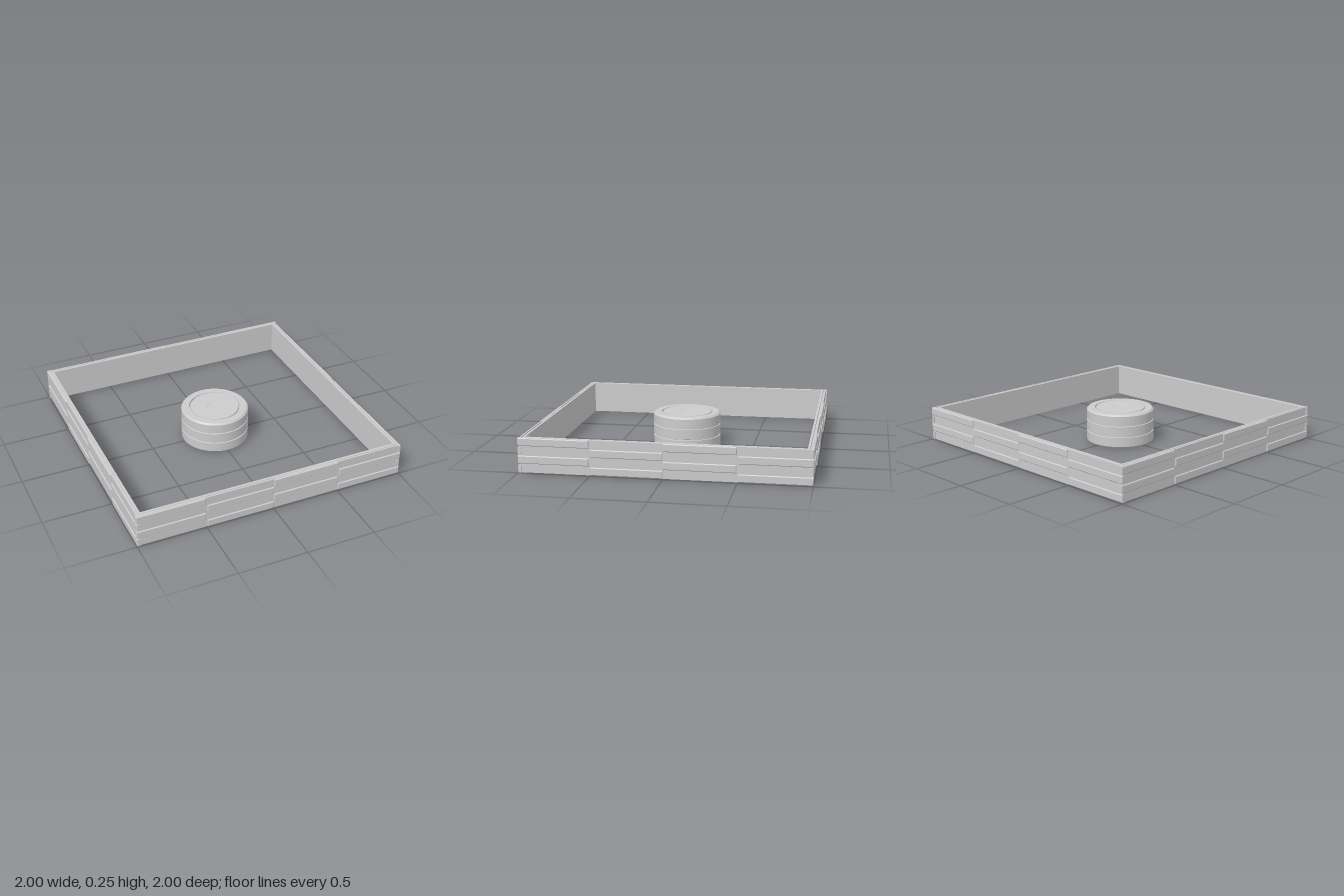
import * as THREE from 'three';

export function createModel() {
  const model = new THREE.Group();
  const material = new THREE.MeshStandardMaterial({ color: 0xcccccc, flatShading: true });
  const smooth = new THREE.MeshStandardMaterial({ color: 0xcccccc });

  const add = (parent, geometry, name, mat = material) => {
    const mesh = new THREE.Mesh(geometry, mat);
    mesh.name = name;
    parent.add(mesh);
    return mesh;
  };

  // Wall core: a cross-section (radius, height) swept round the square in four mitred pieces
  const section = [
    [0.955, 0.004], [0.971, 0.004], [0.973, 0.012], [0.979, 0.012], [0.981, 0.004], [0.992, 0.004],
    [0.992, 0.246], [0.981, 0.246], [0.979, 0.238], [0.973, 0.238], [0.971, 0.246], [0.955, 0.246],
  ];
  function mitredWall() {
    const positions = [];
    section.forEach(([r, y], i) => {
      const [s, h] = section[(i + 1) % section.length];
      positions.push(-r, y, r, r, y, r, s, h, s, -r, y, r, s, h, s, -s, h, s);
    });
    const g = new THREE.BufferGeometry();
    g.setAttribute('position', new THREE.Float32BufferAttribute(positions, 3));
    g.computeVertexNormals();
    return g;
  }

  // Raised panel with chamfered front edges
  function panelGeometry(width, height, depth, bevel) {
    const g = new THREE.BoxGeometry(width, height, depth, 1, 1, 2).toNonIndexed();
    const p = g.attributes.position;
    for (let i = 0; i < p.count; i++) {
      if (Math.abs(p.getZ(i)) < 1e-6) p.setZ(i, depth / 2 - bevel);
      else if (p.getZ(i) > 0) {
        p.setX(i, p.getX(i) - Math.sign(p.getX(i)) * bevel);
        p.setY(i, p.getY(i) - Math.sign(p.getY(i)) * bevel);
      }
    }
    g.computeVertexNormals();
    return g;
  }

  // Four identical sides, each with four staggered rows of panels
  const wall = mitredWall();
  const panel = panelGeometry(0.495, 0.055, 0.025, 0.005);
  for (let side = 0; side < 4; side++) {
    const group = new THREE.Group();
    group.name = 'frameSide';
    group.rotation.y = side * Math.PI / 2;
    add(group, wall, 'wallCore');
    for (let row = 0; row < 4; row++) {
      for (let k = 0; k < 2; k++) {
        const x = -0.7525 + k + (row % 2 ? 0 : 0.505);
        add(group, panel, 'wallPanel').position.set(x, 0.0325 + row * 0.0617, 0.9875);
      }
    }
    model.add(group);
  }

  // Central drum: banded sides, a ring groove and a small centre ring on top.
  // Each straight run is its own lathe strip so that its edges stay sharp.
  const profile = [
    [0, 0], [0.238, 0], [0.25, 0.01],
    [0.25, 0.079], [0.243, 0.081], [0.243, 0.087], [0.25, 0.089],
    [0.25, 0.161], [0.243, 0.163], [0.243, 0.169], [0.25, 0.171],
    [0.25, 0.238], [0.238, 0.25],
    [0.191, 0.25], [0.188, 0.238], [0.182, 0.238], [0.179, 0.25],
    [0.053, 0.25], [0.051, 0.247], [0, 0.247],
  ];
  const drum = new THREE.Group();
  drum.name = 'centreDrum';
  for (let i = 0; i < profile.length - 1; i++) {
    const points = [profile[i], profile[i + 1]].map(([r, y]) => new THREE.Vector2(r, y));
    add(drum, new THREE.LatheGeometry(points, 64), 'drumBand', smooth);
  }
  model.add(drum);

  return model;
}
